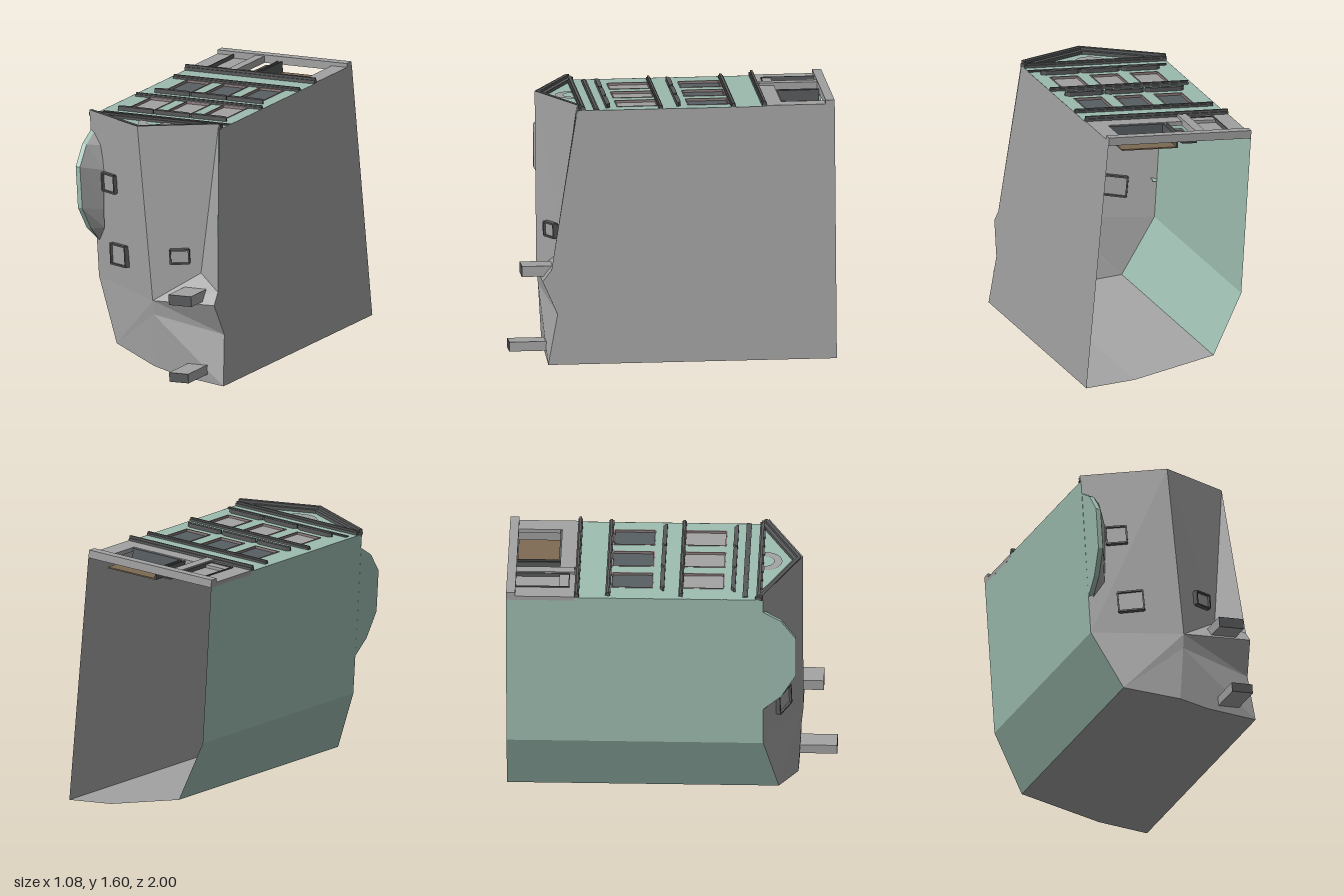
import * as THREE from 'three';

const mat = (name, color) => new THREE.MeshStandardMaterial({ name, color, side: THREE.DoubleSide });

export function createModel() {
  const root = new THREE.Group();
  const grey = mat('stone grey', 0xa2a2a2), green = mat('sage green', 0x9dbcb0);
  const dark = mat('dark trim', 0x58595a), glass = mat('dark glass', 0x585f63);
  const brown = mat('display brown', 0x7d6a52), mauve = mat('window frame', 0x8d7c7c);

  const add = (parent, name, geo, m) => {
    const mesh = new THREE.Mesh(geo, m);
    mesh.name = name;
    parent.add(mesh);
    return mesh;
  };
  // flat-shaded polygons; each one is triangulated with axis "drop" ignored
  const faces = (name, polys, m, drop = 'z') => {
    const [a, b] = { x: ['z', 'y'], y: ['x', 'z'], z: ['x', 'y'] }[drop];
    const pos = [];
    for (const poly of polys) {
      const p = poly.map(q => new THREE.Vector3(...q));
      const tris = THREE.ShapeUtils.triangulateShape(p.map(q => new THREE.Vector2(q[a], q[b])), []);
      for (const t of tris) for (const i of t) pos.push(p[i].x, p[i].y, p[i].z);
    }
    const g = new THREE.BufferGeometry();
    g.setAttribute('position', new THREE.Float32BufferAttribute(pos, 3));
    g.computeVertexNormals();
    return add(root, name, g, m);
  };

  // --- shell corners, shared by walls and roof
  const top = [-0.06, 1.575, 0.8], eaveL = [-0.537, 1.545, 0.57], eaveR = [0.388, 1.602, 0.58];
  const ridge = [0.05, 0.48, 0.8], ridgeLow = [0.05, 0.39, 0.79], valley = [0.31, 0.66, 0.66];
  const wing0 = [0.481, 0.585, 0.745], wing1 = [0.487, 0.515, 0.8], wing2 = [0.506, 0.31, 0.71];
  const base0 = [0.535, 0, 0.77], base1 = [0.22, 0.02, 0.77], base2 = [0.04, 0.055, 0.77];
  const base3 = [-0.29, 0.12, 0.66], left = [-0.47, 0.5, 0.57];
  const wallL = [-0.534, 1.51, 0.57], wallR = [0.39, 1.565, 0.58];
  const back = p => [p[0], p[1], -1];

  faces('rightWall', [[back(wallR), back(base0), base0, wing2, wing1, wing0, wallR]], grey, 'x');
  faces('leftWall', [[back(wallL), back(left), left, wallL], [back(left), back(base3), base3, left]], green, 'x');
  faces('rearWall', [[back(base0), back(base1), base1, base0], [back(base1), back(base3), base3, base2, base1]], grey, 'y');
  faces('roof', [
    [top, eaveL, left], [top, left, ridge], [left, base3, ridge], [ridge, base3, ridgeLow],
    [top, ridge, valley], [top, valley, eaveR], [eaveR, valley, wing0],
    [ridge, wing1, wing0], [ridge, wing0, valley],
    [ridge, ridgeLow, wing2], [ridge, wing2, wing1],
    [ridgeLow, base3, base2], [ridgeLow, base2, base1], [ridgeLow, base1, base0], [ridgeLow, base0, wing2],
  ], grey);

  // --- wall dormer on the left side
  const wallX = y => -0.533 + 0.062 * (1.51 - y);
  const profile = [[1.43, 0.56], [1.36, 0.68], [1.24, 0.77], [0.98, 0.77], [0.83, 0.68], [0.73, 0.56]];
  const inner = [[-0.5, 1.43, 0.58], [-0.43, 1.35, 0.61], [-0.4, 1.2, 0.63], [-0.4, 0.95, 0.63], [-0.4, 0.83, 0.62], [-0.46, 0.73, 0.58]];
  const outer = profile.map(([y, z]) => [wallX(y), y, z]);
  const lip = profile.map(([y, z]) => [wallX(y) + 0.03, y, z]);
  const strip = (a, b) => a.slice(1).flatMap((p, i) => [[a[i], p, b[i + 1]], [a[i], b[i + 1], b[i]]]);
  faces('dormerWall', [outer], green, 'x');
  faces('dormerEdge', strip(outer, lip), green);
  faces('dormerRoof', strip(lip, inner), grey);

  // --- skylights
  const skylight = (x, y, z, w, h, ry, rz) => {
    const g = new THREE.Group();
    g.name = 'skylight';
    g.position.set(x, y, z);
    g.rotation.set(0, ry, rz);
    root.add(g);
    add(g, 'skylightPane', new THREE.BoxGeometry(w, h, 0.02), grey);
    for (const s of [-1, 1]) {
      add(g, 'skylightSide', new THREE.BoxGeometry(0.01, h, 0.05), dark).position.x = s * w / 2;
      add(g, 'skylightRail', new THREE.BoxGeometry(w, 0.01, 0.05), dark).position.y = s * h / 2;
    }
  };
  skylight(-0.335, 1.135, 0.655, 0.125, 0.11, -0.43, 0.06);
  skylight(-0.25, 0.695, 0.68, 0.155, 0.125, -0.43, 0.09);
  skylight(0.195, 0.765, 0.72, 0.115, 0.085, 0.45, 0.06);

  // --- chimneys with dark ends
  for (const [x, y, z0, z1, w, h] of [[0.315, 0.55, 0.7, 0.92, 0.16, 0.065], [0.355, 0.085, 0.72, 1, 0.135, 0.058]]) {
    const c = add(root, 'chimney', new THREE.BoxGeometry(w, h, z1 - z0 - 0.004), grey);
    c.position.set(x, y, (z0 + z1) / 2 - 0.002);
    c.rotation.z = 0.07;
    add(c, 'chimneyEnd', new THREE.BoxGeometry(w, h, 0.004), dark).position.z = (z1 - z0) / 2;
  }

  // --- facade: local frame, height above the wall plane is +y
  const facade = new THREE.Group();
  facade.name = 'facade';
  facade.position.set(-0.072, 1.537, 0);
  facade.rotation.z = 0.0595;
  root.add(facade);
  const block = (name, x0, x1, z0, z1, v0, v1, m) => {
    const b = add(facade, name, new THREE.BoxGeometry(x1 - x0, v1 - v0, z1 - z0), m);
    b.position.set((x0 + x1) / 2 + 0.072, (v0 + v1) / 2, (z0 + z1) / 2);
    return b;
  };
  const path = (pts, C = THREE.Shape) => new C(pts.map(([x, z]) => new THREE.Vector2(x + 0.072, -z)));

  const wall = path([[-0.535, -0.59], [0.39, -0.59], [0.39, 0.57], [-0.06, 0.79], [-0.535, 0.57]]);
  const columns = [-0.313, -0.053, 0.207];
  for (const [z0, z1, pane] of [[-0.36, -0.11, glass], [0.075, 0.325, grey]]) {
    for (const x of columns) {
      const a = x - 0.088, b = x + 0.088;
      wall.holes.push(path([[a, z0], [a, z1], [b, z1], [b, z0]], THREE.Path));
      block('windowPane', a, b, z0, z1, -0.02, -0.012, pane);
      for (const e of [a, b]) block('windowJamb', e - 0.004, e + 0.004, z0, z1, -0.012, 0.003, mauve);
      for (const e of [z0, z1]) block('windowRail', a, b, e - 0.004, e + 0.004, -0.012, 0.003, mauve);
      // tapered hood over the window
      const h = z1 + 0.047;
      const hood = path([[x - 0.1, h], [x + 0.1, h], [x + 0.125, h + 0.016], [x + 0.125, h + 0.026], [x - 0.125, h + 0.026], [x - 0.125, h + 0.016]]);
      add(facade, 'windowHood', new THREE.ExtrudeGeometry(hood, { depth: 0.026, bevelEnabled: false }).rotateX(-Math.PI / 2), dark);
    }
  }
  add(facade, 'facadeWall', new THREE.ShapeGeometry(wall).rotateX(-Math.PI / 2), green);

  // horizontal mouldings, each a wide step with a narrow one on it
  for (const [x0, z, w, v] of [[-0.535, -0.57, 0.028, 0.035], [-0.505, -0.38, 0.03, 0.022], [-0.505, 0.065, 0.026, 0.022], [-0.505, 0.46, 0.032, 0.008], [-0.535, 0.545, 0.034, 0.026]]) {
    block('moulding', x0, 0.39, z - w / 2, z + w / 2, 0, v * 0.6, dark);
    block('mouldingLip', x0, 0.39, z - w / 4, z + w / 4, 0, v, dark);
  }

  // gable rims under the roof edge
  for (const [x, z] of [[-0.537, 0.565], [0.39, 0.572]]) {
    const dx = x + 0.06, dz = z - 0.79, L = Math.hypot(dx, dz);
    for (const [w, v] of [[0.02, 0.036], [0.045, 0.02]]) {
      const rim = add(facade, 'gableRim', new THREE.BoxGeometry(L, v, w), dark);
      rim.position.set((x - 0.06) / 2 + 0.072, v / 2, (z + 0.79) / 2 - w / 2);
      rim.rotation.y = -Math.atan(dz / dx);
    }
  }
  // half-round gable ornament
  const arch = new THREE.RingGeometry(0.06, 0.11, 24, 1, Math.PI, Math.PI).rotateX(-Math.PI / 2);
  add(facade, 'gableArch', arch, grey).position.set(0.005, 0.005, 0.565);

  // --- ground floor shopfront with an open bay
  block('plinth', -0.535, 0.39, -1, -0.945, -0.02, 0.03, grey);
  block('shopFascia', -0.535, 0.39, -0.68, -0.585, -0.02, 0.006, grey);
  block('endPier', -0.535, -0.42, -0.945, -0.68, -0.02, 0.006, grey);
  block('door', -0.42, -0.26, -0.945, -0.68, -0.03, -0.012, grey);
  for (const x of [-0.42, -0.262]) block('doorJamb', x - 0.003, x + 0.003, -0.965, -0.62, -0.01, 0.014, dark);
  block('doorHead', -0.42, -0.262, -0.623, -0.617, 0, 0.012, dark);
  block('pilaster', -0.26, -0.2, -0.985, -0.59, -0.02, 0.022, grey);
  block('cornerPier', 0.28, 0.39, -0.945, -0.68, -0.02, 0.006, grey);
  block('sidePane', -0.2, -0.105, -0.96, -0.68, -0.045, -0.037, glass);
  block('sidePost', -0.108, -0.1, -0.945, -0.68, -0.045, 0, dark);
  block('displayBack', -0.075, 0.28, -0.945, -0.69, -0.075, -0.067, brown);
  block('displayPost', -0.082, -0.072, -0.945, -0.68, -0.075, 0, dark);
  block('displayHead', -0.075, 0.28, -0.69, -0.675, -0.075, 0, glass);
  block('displayItem', -0.18, -0.14, -0.86, -0.74, -0.036, -0.032, brown);

  return root;
}
